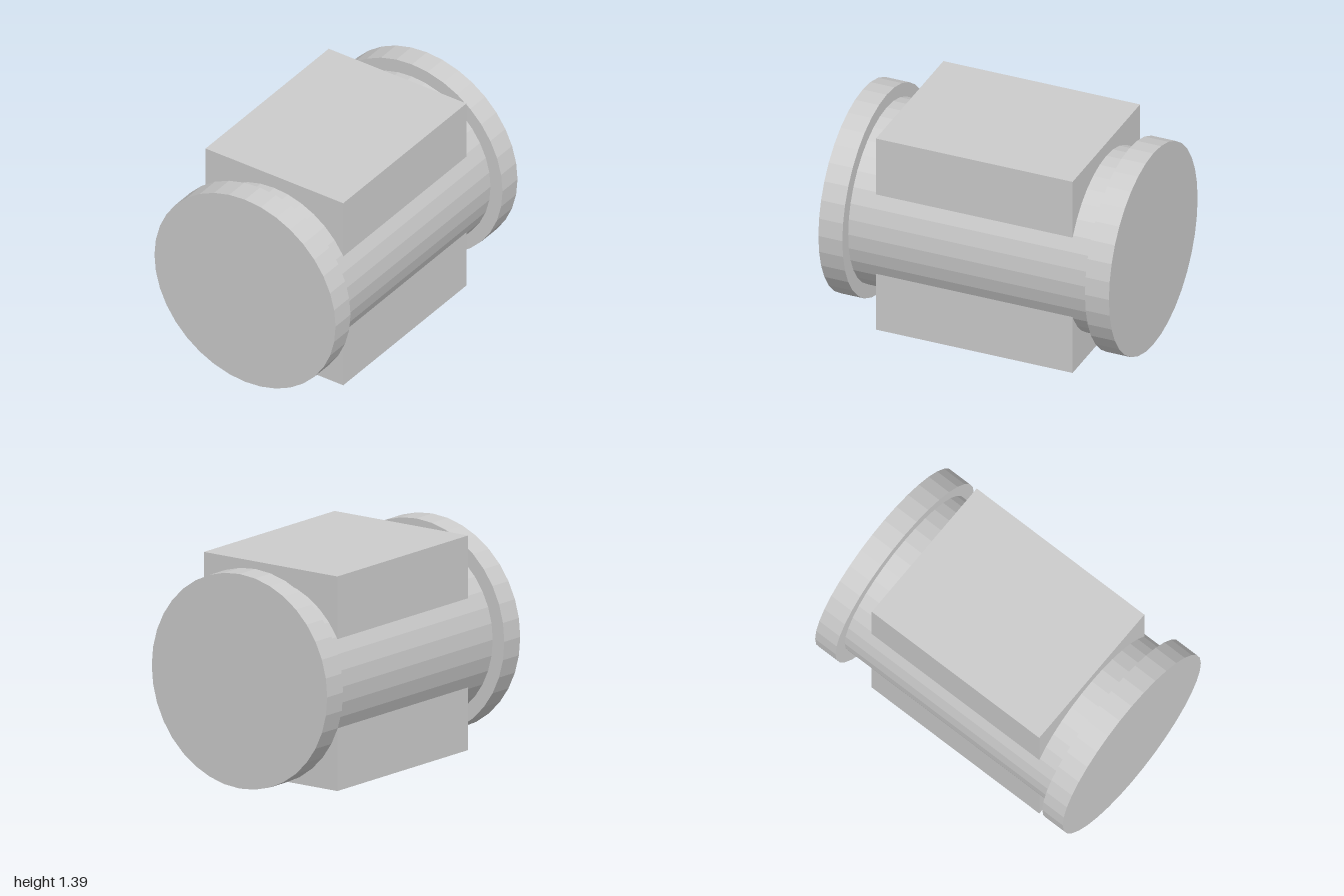
import * as THREE from 'three';

const material = new THREE.MeshStandardMaterial({ color: 0xcccccc, flatShading: true });
const RIM_RADIUS = 0.697;
const BODY_RADIUS = 0.605;
const RIM_WIDTH = 0.165;
const SIDES = 36;

// Faceted cylinder lying along x, centred at height RIM_RADIUS
function drum(name, radius, length, x) {
  const geometry = new THREE.CylinderGeometry(radius, radius, length, SIDES);
  geometry.rotateZ(Math.PI / 2);
  const mesh = new THREE.Mesh(geometry, material);
  mesh.name = name;
  mesh.position.set(x, RIM_RADIUS, 0);
  return mesh;
}

export function createModel() {
  const model = new THREE.Group();
  model.name = 'flangedDrumWithBlock';

  // Central drum, running between the rims
  model.add(drum('body', BODY_RADIUS, 2 - 2 * RIM_WIDTH, 0));

  // Wide end rims
  for (const [name, side] of [['leftRim', 1], ['rightRim', -1]]) {
    model.add(drum(name, RIM_RADIUS, RIM_WIDTH, side * (1 - RIM_WIDTH / 2)));
  }

  // Rectangular block through the drum, level with the rims above and below
  const block = new THREE.Mesh(new THREE.BoxGeometry(1.354, 2 * RIM_RADIUS, 1.06), material);
  block.name = 'block';
  block.position.y = RIM_RADIUS;
  model.add(block);

  return model;
}
